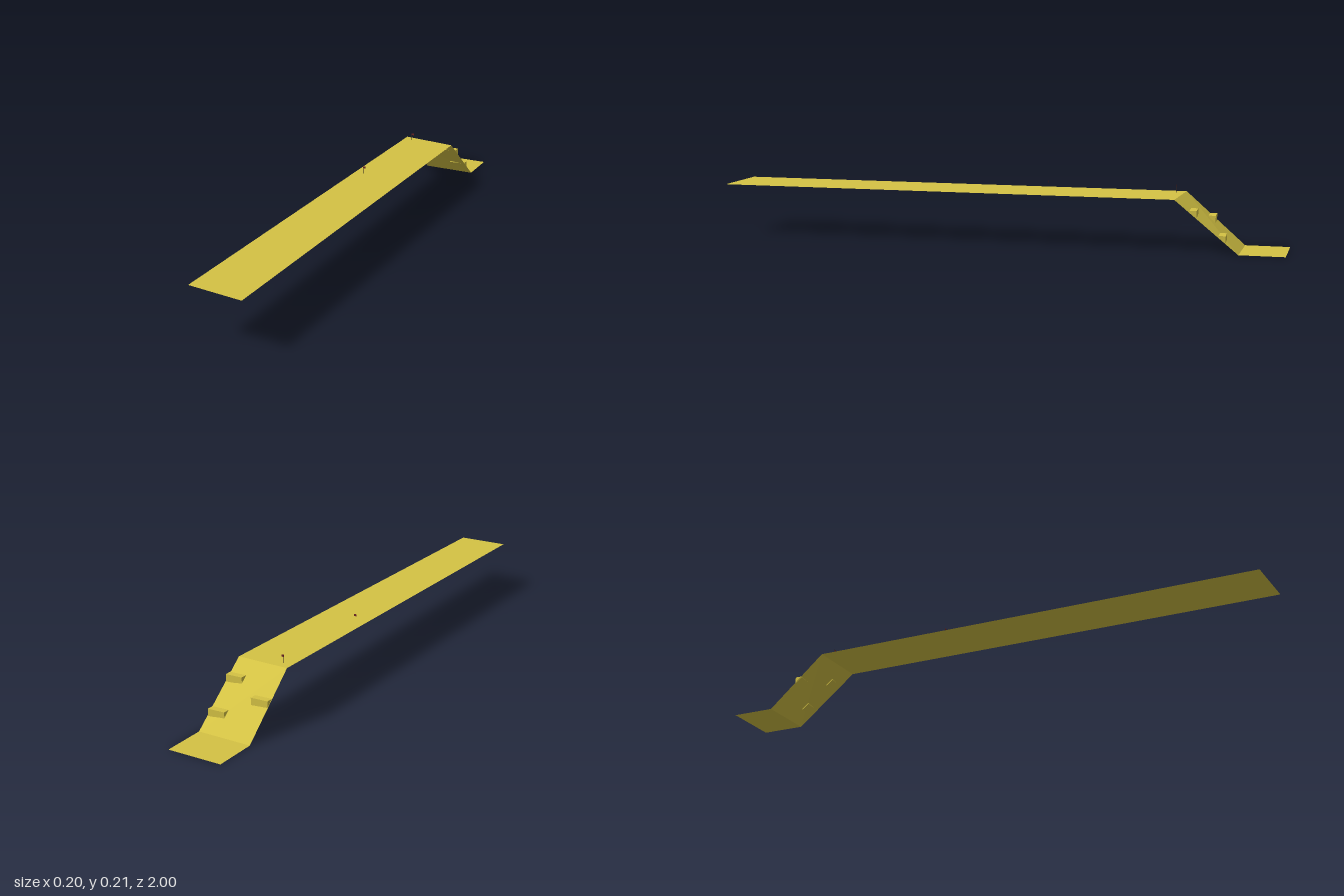
import * as THREE from 'three';

const sand = new THREE.MeshStandardMaterial({ color: 0xd4c244, flatShading: true, side: THREE.DoubleSide });
const dark = new THREE.MeshStandardMaterial({ color: 0x3a2a22, flatShading: true, side: THREE.DoubleSide });
const red = new THREE.MeshStandardMaterial({ color: 0x6a2424, flatShading: true, side: THREE.DoubleSide });

// Cross edges of the strip from front to back: left end, right end
const edges = [
  [[-0.1, 0.181, 0.976], [0.093, 0.177, 1.0]],
  [[-0.1, 0.181, -0.643], [0.094, 0.177, -0.622]],
  [[-0.096, 0, -0.848], [0.099, 0, -0.838]],
  [[-0.097, 0, -1.0], [0.098, 0, -0.992]],
];

// Flat panel between two neighbouring cross edges
function panel(name, [la, ra], [lb, rb]) {
  const g = new THREE.BufferGeometry();
  g.setAttribute('position', new THREE.Float32BufferAttribute([...la, ...ra, ...rb, ...lb], 3));
  g.setIndex([0, 1, 2, 0, 2, 3]);
  g.computeVertexNormals();
  const mesh = new THREE.Mesh(g, sand);
  mesh.name = name;
  return mesh;
}

// Height of the ramp surface
function rampHeight(x, z) {
  const t = (x + 0.1) / 0.195;
  const z0 = THREE.MathUtils.lerp(-0.848, -0.838, t);
  const z1 = THREE.MathUtils.lerp(-0.643, -0.622, t);
  return THREE.MathUtils.lerp(0.181, 0.177, t) * (z - z0) / (z1 - z0);
}

// Wedge-shaped ledge: upright outer face and level top running into the ramp
function ledge(x0, x1, zBack, zFront) {
  const xm = (x0 + x1) / 2;
  const low = rampHeight(xm, zBack), high = rampHeight(xm, zFront);
  const top = low + 0.024;
  const s = new THREE.Shape();
  s.moveTo(-zBack, low);
  s.lineTo(-zBack, top);
  s.lineTo(-zFront, top);
  s.lineTo(-zFront, Math.min(high, top - 0.001));
  s.closePath();
  const g = new THREE.ExtrudeGeometry(s, { depth: x1 - x0, bevelEnabled: false });
  g.rotateY(Math.PI / 2); // profile axis becomes -z, extrusion runs along +x
  g.translate(x0, 0, 0);
  const mesh = new THREE.Mesh(g, sand);
  mesh.name = 'ledge';
  return mesh;
}

// Tiny pole with a pennant
function marker(x, z) {
  const group = new THREE.Group();
  group.name = 'marker';
  const pole = new THREE.Mesh(new THREE.CylinderGeometry(0.0006, 0.0006, 0.028, 6), dark);
  pole.name = 'markerPole';
  pole.position.y = 0.014;
  const flag = new THREE.Mesh(new THREE.BoxGeometry(0.009, 0.007, 0.001), red);
  flag.name = 'markerFlag';
  flag.position.set(0.004, 0.0245, 0);
  group.add(pole, flag);
  group.position.set(x, 0.18, z);
  return group;
}

export function createModel() {
  const model = new THREE.Group();
  model.name = 'steppedTrack';

  // Ground strip
  ['upperDeck', 'ramp', 'lowerDeck'].forEach((name, i) => model.add(panel(name, edges[i], edges[i + 1])));

  // Staggered ledges on the ramp
  model.add(
    ledge(0.033, 0.093, -0.697, -0.673),
    ledge(-0.097, -0.036, -0.75, -0.726),
    ledge(0.033, 0.094, -0.795, -0.771),
  );

  // Markers along the right side of the upper deck
  for (const z of [-0.16, -0.61]) model.add(marker(-0.067, z));
  return model;
}
